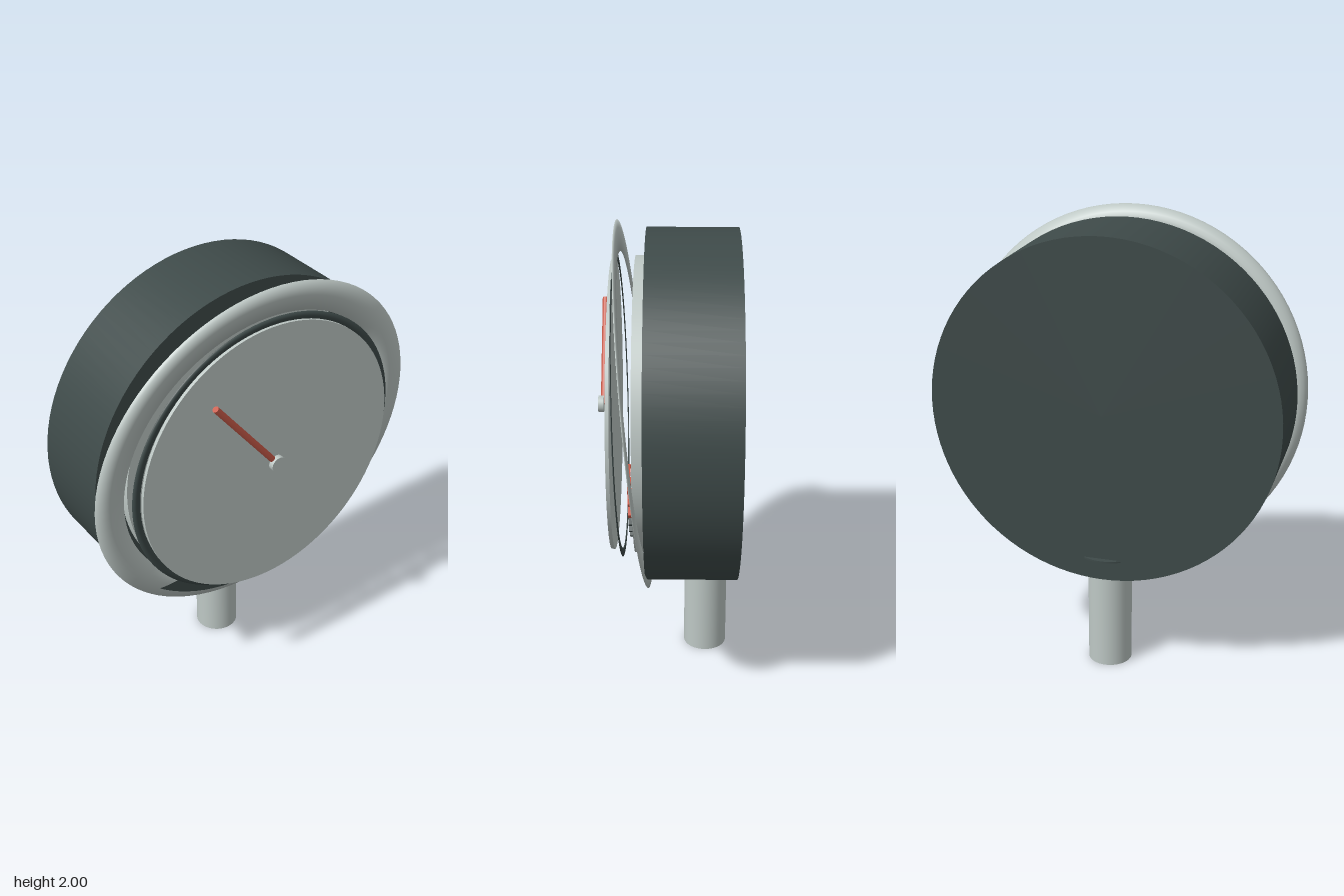
import * as THREE from 'three';

const CY = 1.207; // height of the dial centre

function material(name, color, side = THREE.FrontSide) {
  const m = new THREE.MeshStandardMaterial({ color, side });
  m.name = name;
  return m;
}

export function createModel() {
  const group = new THREE.Group();
  group.name = 'dialGauge';
  const dark = material('dark slate', 0x3e4a49);
  const light = material('pale grey', 0xbec8c5);
  const red = material('needle red', 0xc85a48);

  function add(name, geometry, mat, x, y, z) {
    const mesh = new THREE.Mesh(geometry, mat);
    mesh.name = name;
    mesh.position.set(x, y, z);
    group.add(mesh);
    return mesh;
  }

  // Round plate facing the front, between two depths
  function disc(name, radius, back, front, mat, segments = 96) {
    const g = new THREE.CylinderGeometry(radius, radius, front - back, segments);
    g.rotateX(Math.PI / 2);
    return add(name, g, mat, 0, CY, (back + front) / 2);
  }

  // Torus pressed almost flat, keeping its rounded shading
  function flatRing(name, inner, outer, depth, mat) {
    const tube = (outer - inner) / 2;
    const g = new THREE.TorusGeometry((outer + inner) / 2, tube, 24, 96);
    const p = g.attributes.position;
    for (let i = 0; i < p.count; i++) p.setZ(i, p.getZ(i) * depth / (2 * tube));
    return add(name, g, mat, 0, CY, 0);
  }

  // Housing and the plates in front of it
  disc('housing', 0.758, -0.288, 0.102, dark);
  disc('dialPlate', 0.64, 0.105, 0.148, light);
  disc('frontCover', 0.627, 0.234, 0.249, light);

  // Tilted bezel and the thin seal inside it
  const bezel = flatRing('bezel', 0.66, 0.795, 0.006, light);
  bezel.position.set(0, 1.205, 0.155);
  bezel.rotation.x = 0.095;
  const seal = flatRing('seal', 0.622, 0.66, 0.005, dark);
  seal.position.z = 0.217;
  seal.rotation.x = 0.028;

  // Scale marks along the lower arc, the first four in red
  const marks = 19, inner = 0.49, outer = 0.577;
  for (let i = 0; i < marks; i++) {
    const a = -THREE.MathUtils.degToRad(7 + i * 7.44);
    const r = (inner + outer) / 2;
    const mark = add('scaleMark', new THREE.BoxGeometry(outer - inner, 0.016, 0.014),
      i < 4 ? red : dark, r * Math.cos(a), CY + r * Math.sin(a), 0.162);
    mark.rotation.z = a;
  }

  // Needle and its hub
  const tip = new THREE.Vector2(-0.303, 0.382);
  const needle = add('needle', new THREE.CylinderGeometry(0.014, 0.014, tip.length(), 20),
    red, tip.x / 2, CY + tip.y / 2, 0.288);
  needle.rotation.z = Math.atan2(-tip.x, tip.y);
  disc('needleHub', 0.036, 0.288, 0.312, light, 32);

  // Stem below, with a thin collar that just breaks through the back
  add('stem', new THREE.CylinderGeometry(0.097, 0.097, 0.56, 48), light, 0, 0.28, -0.162);
  add('stemCollar', new THREE.CylinderGeometry(0.151, 0.151, 0.008, 48), dark, 0, 0.545, -0.162);

  return group;
}
